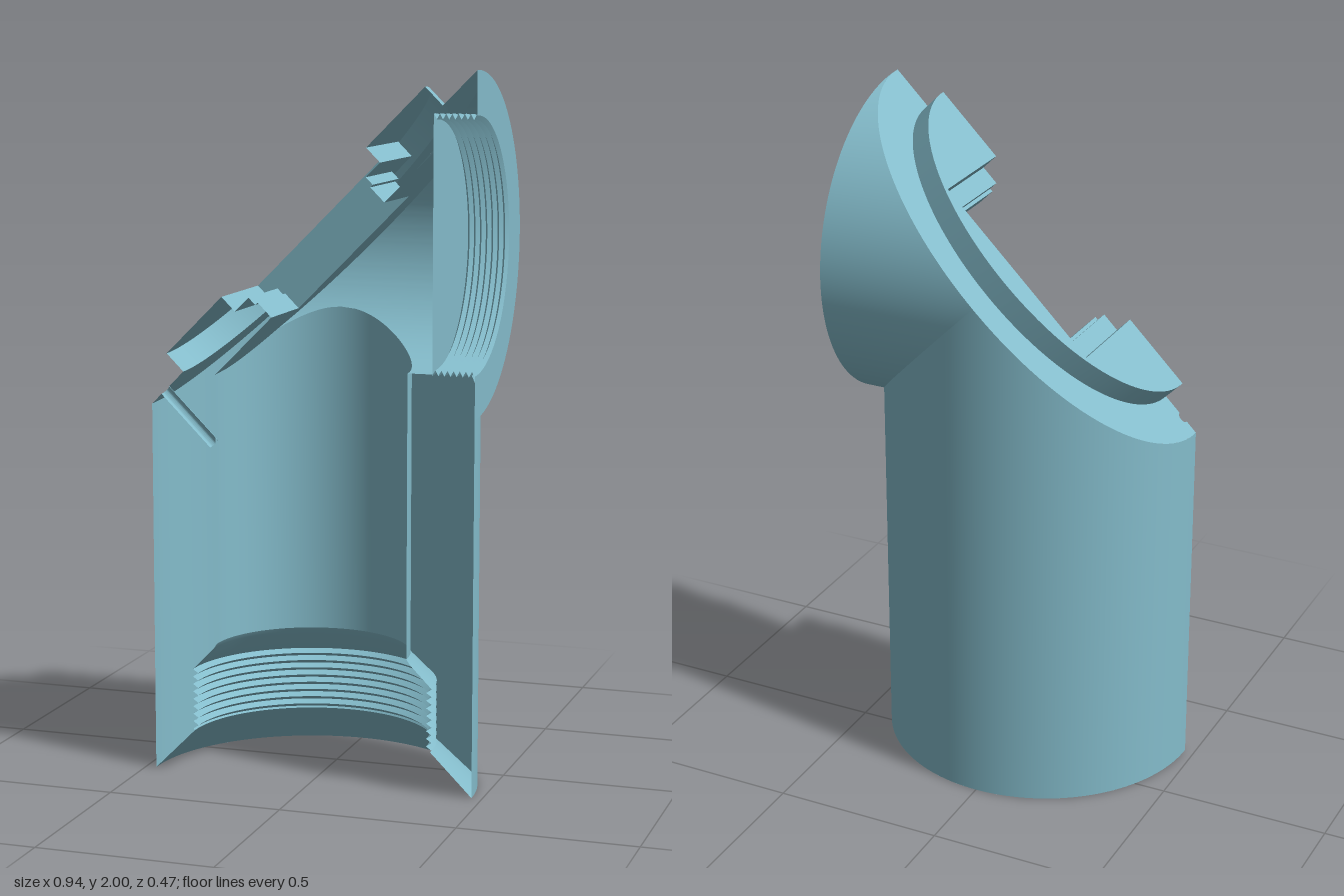
import * as THREE from 'three';
import { toCreasedNormals } from 'three/addons/utils/BufferGeometryUtils.js';
import { ParametricGeometry } from 'three/addons/geometries/ParametricGeometry.js';

const R = 0.47;      // outer pipe radius
const BORE_V = 0.28; // upright bore
const BORE_H = 0.35; // sideways bore
const AXIS_Y = 1.53; // height of the sideways axis
const CUT_Z = 0.235; // lengthwise section plane, holds both pipe axes
const UNDER = 1.43;  // underside of the slanted cover is y = x + UNDER
const HOLE = 0.016;  // small drilled holes

export function createModel() {
  const model = new THREE.Group();
  model.name = 'elbowFittingSection';
  const teal = new THREE.MeshStandardMaterial({ color: 0x84bccb, side: THREE.DoubleSide });
  teal.name = 'paleTeal';

  const add = (parent, name, geometry, crease = 0.45) => {
    const mesh = new THREE.Mesh(toCreasedNormals(geometry, crease), teal);
    mesh.name = name;
    parent.add(mesh);
    return mesh;
  };
  // Open surface from a rule f(s, t) -> [x, y, z]
  const sheet = (f, ns, nt = 1) =>
    new ParametricGeometry((s, t, p) => p.set(...f(s, t)), ns, nt);
  const mix = (a, b, t) => a + (b - a) * t;

  // Upright half pipe: angle runs over the back, top edge depends on the angle
  const upright = (r, bottom, top) => sheet((s, t) => {
    const x = -r * Math.cos(s * Math.PI), d = r * Math.sin(s * Math.PI);
    return [x, mix(bottom, top(x, d), t), CUT_Z - d];
  }, 80);
  // Sideways half pipe: angle runs from the bottom up, ends depend on y and depth
  const sideways = (r, a0, a1, from, to) => sheet((s, t) => {
    const a = mix(a0, a1, s), y = AXIS_Y - r * Math.cos(a), d = r * Math.sin(a);
    return [mix(from(y, d), to(y, d), t), y, CUT_Z - d];
  }, 64);

  // Outer shells, mitred at 45 degrees
  add(model, 'uprightShell', upright(R, 0, (x) => AXIS_Y - Math.abs(x)));
  add(model, 'sidewaysShell', sideways(R, 0, Math.PI, (y) => Math.abs(y - AXIS_Y), () => R));

  // Bores, trimmed where they meet each other and the cover
  const boreX = (d) => Math.sqrt(Math.max(0, BORE_V ** 2 - d * d));
  add(model, 'uprightBore', upright(BORE_V, 0.38,
    (x, d) => Math.min(AXIS_Y - Math.sqrt(BORE_H ** 2 - d * d), x + UNDER)));
  const meet = Math.asin(BORE_V / BORE_H);
  const roof = Math.PI - Math.acos(0.25 / BORE_H);
  const underX = (y) => y - UNDER;
  add(model, 'sidewaysBoreLower', sideways(BORE_H, 0, meet, (y, d) => boreX(d), () => BORE_H));
  add(model, 'sidewaysBoreUpper', sideways(BORE_H, meet, roof, underX, () => BORE_H));
  add(model, 'sidewaysBoreCorner', sideways(BORE_H, 0.69, meet, underX, (y, d) => -boreX(d)));

  // Threaded sockets
  const thread = (from, to, turns) => {
    const pts = [];
    for (let i = 0; i < turns; i++) {
      pts.push([0.354, mix(from, to, i / turns)], [0.338, mix(from, to, (i + 0.5) / turns)]);
    }
    return [...pts, [0.354, to]];
  };
  const halfLathe = (profile) => new THREE.LatheGeometry(
    profile.map(([r, y]) => new THREE.Vector2(r, y)), 64, Math.PI / 2, Math.PI);
  const lowerSocket = add(model, 'lowerSocket', halfLathe(
    [[R, 0], [0.35, 0.12], ...thread(0.125, 0.3, 8), [0.29, 0.365], [BORE_V, 0.38]]), 0.3);
  lowerSocket.position.z = CUT_Z;
  const sideSocket = add(model, 'sideSocket', halfLathe(
    [[R, R], [0.35, R], ...thread(R, 0.35, 7), [BORE_H, 0.35], [0, 0.35]]), 0.3);
  sideSocket.rotation.z = -Math.PI / 2;
  sideSocket.position.set(0, AXIS_Y, CUT_Z);

  // Slanted cover: local x climbs the slope, y goes back from the section, z leaves the slope
  const cover = new THREE.Group();
  cover.name = 'slantedCover';
  const k = Math.SQRT1_2;
  cover.applyMatrix4(new THREE.Matrix4().makeBasis(
    new THREE.Vector3(k, k, 0), new THREE.Vector3(0, 0, -1), new THREE.Vector3(-k, k, 0)
  ).setPosition(0, AXIS_Y, CUT_Z));
  model.add(cover);

  const arc = (rx, ry, cx = 0, n = 72) => Array.from({ length: n + 1 }, (_, i) => {
    const a = Math.PI * i / n;
    return [cx - rx * Math.cos(a), ry * Math.sin(a)];
  });
  const ellipse = (r) => arc(r * Math.SQRT2, r);
  const square = (h) => [[-h, 0], [-h, h], [h, h], [h, 0]];
  const plate = (name, outer, inner, v, holes = []) => {
    const shape = new THREE.Shape([...outer, ...[...inner].reverse()]
      .map(([x, y]) => new THREE.Vector2(x, y)));
    shape.holes.push(...holes);
    add(cover, name, new THREE.ShapeGeometry(shape)).position.z = v;
  };
  const wall = (name, path, v0, v1) => {
    const n = path.length - 1;
    add(cover, name, sheet((s, t) => [...path[Math.round(s * n)], mix(v0, v1, t)], n));
  };

  // Rim with a drain notch, and the raised oval block
  const notchX = -0.608;
  const notch = arc(HOLE, HOLE, notchX, 12);
  plate('coverRim', ellipse(R), [...notch, ...ellipse(0.375)], 0);
  wall('drainHole', notch, 0, -0.205);
  wall('blockSide', ellipse(0.375), 0, 0.07);
  plate('blockTop', ellipse(0.375), square(0.297), 0.07);

  // Stepped square window
  const screwHole = new THREE.Path().absarc(-0.269, 0.27, HOLE, 0, Math.PI * 2);
  wall('windowUpperWall', square(0.297), 0.07, 0.014);
  plate('windowUpperStep', square(0.297), square(0.24), 0.014, [screwHole]);
  wall('windowMiddleWall', square(0.24), 0.014, -0.014);
  plate('windowLowerStep', square(0.24), square(0.23), -0.014);
  wall('windowLowerWall', square(0.23), -0.014, -0.0707);
  const screwTube = new THREE.CylinderGeometry(HOLE, HOLE, 0.08, 16, 1, true).rotateX(Math.PI / 2);
  add(cover, 'screwHole', screwTube).position.set(-0.269, 0.27, -0.026);

  // Underside follows the outline of both bores
  const underside = Array.from({ length: 65 }, (_, i) => {
    const x = mix(-BORE_V, 0.35, i / 64);
    const d = Math.max(boreX(x), Math.sqrt(Math.max(0, BORE_H ** 2 - (x - 0.1) ** 2)));
    return [x * Math.SQRT2 - 0.0707, d];
  });
  plate('coverUnderside', [...underside, [underside[64][0], 0]], square(0.23), -0.0707);

  return model;
}
